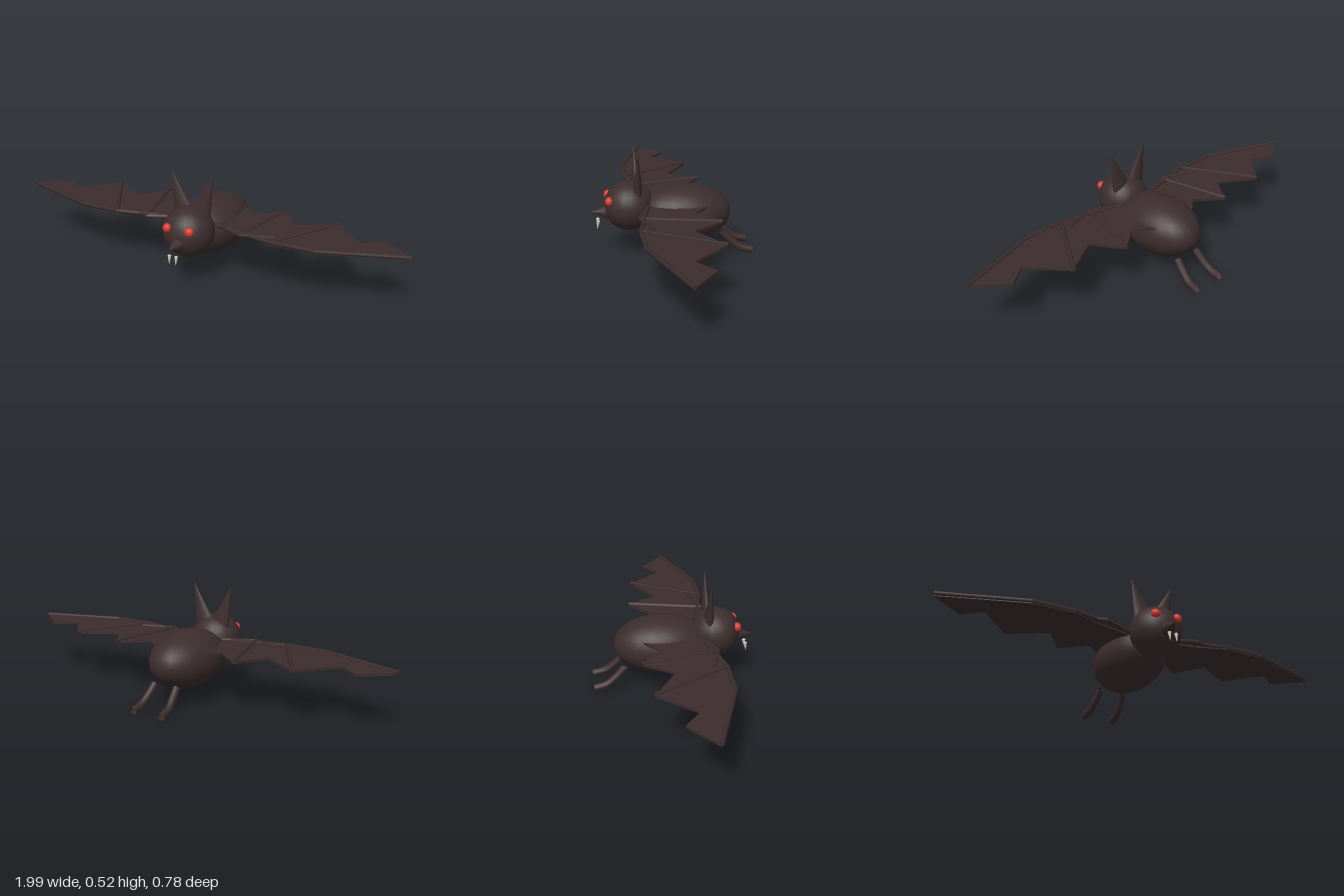
import * as THREE from 'three';

const fur = new THREE.MeshStandardMaterial({ color: 0x3c2d2d });
fur.name = 'darkFur';
const skin = new THREE.MeshStandardMaterial({ color: 0x3c2d2d, side: THREE.DoubleSide });
skin.name = 'darkSkin';
const red = new THREE.MeshStandardMaterial({ color: 0xd83a2e });
red.name = 'eyeRed';
const ivory = new THREE.MeshStandardMaterial({ color: 0xd8d2be });
ivory.name = 'fangIvory';

const UP = new THREE.Vector3(0, 1, 0);

function add(parent, name, geometry, material) {
  const mesh = new THREE.Mesh(geometry, material);
  mesh.name = name;
  parent.add(mesh);
  return mesh;
}

function ellipsoid(parent, name, material, pos, radii, w = 20, h = 20) {
  const mesh = add(parent, name, new THREE.SphereGeometry(1, w, h), material);
  mesh.position.set(...pos);
  mesh.scale.set(...radii);
}

// Tapered rod from point a (radius ra) to point b (radius rb)
function rod(parent, name, material, a, b, ra, rb, sides, flatten = 1) {
  const from = new THREE.Vector3(...a), to = new THREE.Vector3(...b);
  const dir = to.clone().sub(from);
  const mesh = add(parent, name, new THREE.CylinderGeometry(rb, ra, dir.length(), sides), material);
  mesh.position.copy(from).add(to).multiplyScalar(0.5);
  mesh.quaternion.setFromUnitVectors(UP, dir.normalize());
  mesh.scale.z = flatten;
}

// Wing outline as [x, z], from the root along the leading edge and back
const OUTLINE = [
  [0.08, 0.11], [0.25, 0.145], [0.4, 0.195], [0.6, 0.19], [0.99, 0.055],
  [0.845, -0.06], [0.75, 0.015], [0.6, -0.15], [0.42, -0.04],
  [0.325, -0.18], [0.2, -0.08], [0.08, -0.19],
];
// Wing bones as pairs of [x, z]
const BONES = [
  [[0.09, 0.115], [0.24, 0.178]],
  [[0.24, 0.178], [0.4, 0.13]],
  [[0.1, 0.125], [0.4, 0.19]],
  [[0.4, 0.19], [0.6, 0.187]],
  [[0.6, 0.187], [0.99, 0.055]],
  [[0.24, 0.178], [0.325, -0.182]],
  [[0.4, 0.19], [0.6, -0.152]],
];

function makeWing(side) {
  const wing = new THREE.Group();
  wing.name = side > 0 ? 'leftWing' : 'rightWing';
  const shape = new THREE.Shape(OUTLINE.map(([x, z]) => new THREE.Vector2(side * x, -z)));
  const membrane = new THREE.ExtrudeGeometry(shape, { depth: 0.012, bevelEnabled: false });
  membrane.rotateX(-Math.PI / 2);
  add(wing, 'membrane', membrane, fur).position.y = 0.254;
  for (const [a, b] of BONES) {
    rod(wing, 'wingBone', fur, [side * a[0], 0.267, a[1]], [side * b[0], 0.267, b[1]], 0.01, 0.01, 6);
  }
  return wing;
}

export function createModel() {
  const bat = new THREE.Group();
  bat.name = 'bat';

  // Body, head and snout
  ellipsoid(bat, 'body', fur, [0, 0.203, -0.054], [0.155, 0.137, 0.233]);
  ellipsoid(bat, 'head', fur, [0, 0.249, 0.204], [0.122, 0.119, 0.119]);
  rod(bat, 'snout', fur, [0, 0.222, 0.27], [0, 0.223, 0.387], 0.052, 0, 16);

  for (const s of [1, -1]) {
    // Face
    ellipsoid(bat, 'eye', red, [s * 0.056, 0.289, 0.302], [0.022, 0.022, 0.02], 12, 10);
    rod(bat, 'ear', fur, [s * 0.042, 0.325, 0.168], [s * 0.108, 0.525, 0.168], 0.053, 0, 12, 0.45);
    rod(bat, 'fang', ivory, [s * 0.017, 0.183, 0.353], [s * 0.017, 0.139, 0.359], 0.009, 0, 8);

    // Trailing legs
    const path = new THREE.CatmullRomCurve3([
      new THREE.Vector3(s * 0.06, 0.112, -0.237),
      new THREE.Vector3(s * 0.067, 0.066, -0.282),
      new THREE.Vector3(s * 0.073, 0.033, -0.326),
      new THREE.Vector3(s * 0.077, 0.018, -0.385),
    ]);
    add(bat, 'leg', new THREE.TubeGeometry(path, 12, 0.018, 10), skin);

    bat.add(makeWing(s));
  }
  return bat;
}
